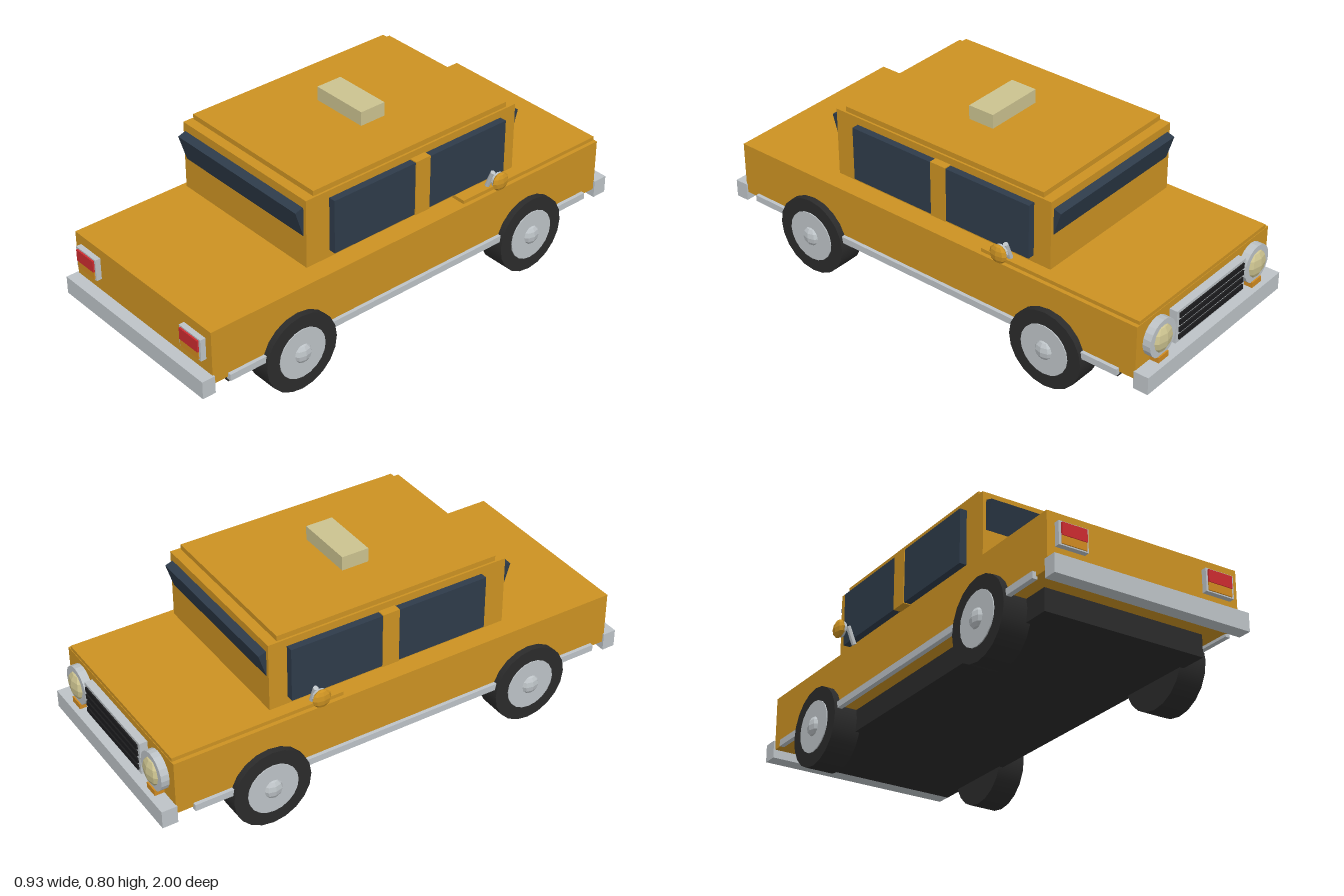
import * as THREE from 'three';

const mat = (name, color, flatShading = false) => {
  const m = new THREE.MeshStandardMaterial({ color, flatShading });
  m.name = name;
  return m;
};

export function createModel() {
  const paint = mat('orangePaint', 0xcc9222, true);
  const chrome = mat('chrome', 0xbdc3c7, true);
  const glass = mat('darkGlass', 0x2e3b4a, true);
  const rubber = mat('rubber', 0x2b2b2b);
  const black = mat('grilleBlack', 0x1c1c1e);
  const cream = mat('creamLamp', 0xcbc28f, true);
  const red = mat('redLamp', 0xcc2b30);
  const amber = mat('amberLamp', 0xd08a20);

  const car = new THREE.Group();
  car.name = 'sedan';

  const add = (name, geometry, material, x = 0, y = 0, z = 0) => {
    const m = new THREE.Mesh(geometry, material);
    m.name = name;
    m.position.set(x, y, z);
    car.add(m);
    return m;
  };
  // Box given by its limits on each axis
  const box = (name, material, [x0, x1], [y0, y1], [z0, z1]) =>
    add(name, new THREE.BoxGeometry(x1 - x0, y1 - y0, z1 - z0), material,
      (x0 + x1) / 2, (y0 + y1) / 2, (z0 + z1) / 2);
  // Same box on the left (+x) or right (-x) side
  const sideBox = (name, material, s, [x0, x1], y, z) =>
    box(name, material, s > 0 ? [x0, x1] : [-x1, -x0], y, z);
  // Faceted, squashed ball
  const ball = (name, material, r, scale, x, y, z) => {
    const m = add(name, new THREE.SphereGeometry(r, 8, 6), material, x, y, z);
    m.scale.set(...scale);
    return m;
  };
  // Disc with its axis along x or z
  const disc = (name, material, r, depth, axis, x, y, z, sides = 20) => {
    const g = new THREE.CylinderGeometry(r, r, depth, sides);
    if (axis === 'x') g.rotateZ(Math.PI / 2);
    else g.rotateX(Math.PI / 2);
    return add(name, g, material, x, y, z);
  };

  // Body, chassis and bumpers
  box('chassis', rubber, [-0.335, 0.335], [0.11, 0.21], [-0.82, 0.835]);
  box('body', paint, [-0.403, 0.403], [0.198, 0.417], [-0.94, 0.95]);
  box('hood', paint, [-0.387, 0.387], [0.415, 0.432], [-0.938, -0.24]);
  box('frontBumper', chrome, [-0.41, 0.41], [0.163, 0.235], [-1, -0.938]);
  box('rearBumper', chrome, [-0.41, 0.41], [0.163, 0.235], [0.945, 1]);

  // Cabin, roof and roof lamp
  box('cabin', paint, [-0.35, 0.35], [0.443, 0.722], [-0.525, 0.485]);
  box('roof', paint, [-0.342, 0.342], [0.72, 0.743], [-0.485, 0.445]);
  box('roofLamp', cream, [-0.123, 0.123], [0.74, 0.8], [-0.077, 0.035]);

  // Tilted front and rear windows
  for (const [name, z, s] of [['windshield', -0.52, -1], ['rearWindow', 0.485, 1]]) {
    const w = add(name, new THREE.BoxGeometry(0.672, 0.115, 0.035), glass, 0, 0.63, z + s * 0.002);
    w.rotation.x = s * 0.31;
  }

  // Grille at the front end
  box('grillePanel', chrome, [-0.212, 0.212], [0.255, 0.39], [-0.972, -0.938]);
  for (let i = 0; i < 4; i++) {
    const y = 0.277 + i * 0.0305;
    box('grilleSlot', black, [-0.198, 0.198], [y - 0.01, y + 0.01], [-0.978, -0.97]);
  }

  for (const s of [1, -1]) {
    // Side windows, door pillar and sill trim
    sideBox('rearSideWindow', glass, s, [0.345, 0.379], [0.472, 0.692], [0.0, 0.38]);
    sideBox('frontSideWindow', glass, s, [0.345, 0.379], [0.472, 0.692], [-0.45, -0.068]);
    sideBox('doorPillar', paint, s, [0.345, 0.382], [0.469, 0.696], [-0.07, 0.0]);
    sideBox('sillTrim', chrome, s, [0.398, 0.418], [0.187, 0.214], [-0.872, 0.885]);

    // Headlights and turn signals
    disc('headlightRim', chrome, 0.076, 0.032, 'z', s * 0.291, 0.325, -0.956);
    ball('headlightLens', cream, 0.057, [1, 1, 0.5], s * 0.291, 0.325, -0.965);
    sideBox('turnSignal', amber, s, [0.262, 0.32], [0.232, 0.258], [-0.978, -0.938]);

    // Tail lights
    sideBox('tailLightFrame', chrome, s, [0.25, 0.371], [0.288, 0.378], [0.948, 0.972]);
    sideBox('brakeLamp', red, s, [0.258, 0.361], [0.324, 0.372], [0.97, 0.979]);
    sideBox('rearSignal', amber, s, [0.258, 0.361], [0.293, 0.324], [0.97, 0.976]);

    // Mirrors on slanted arms
    const arm = add('mirrorArm', new THREE.CylinderGeometry(0.01, 0.01, 0.075, 8), chrome,
      s * 0.392, 0.478, -0.368);
    arm.rotation.z = -s * 0.38;
    disc('mirrorFace', chrome, 0.031, 0.01, 'x', s * 0.433, 0.494, -0.368, 12);
    ball('mirrorShell', paint, 0.037, [0.48, 1, 1.05], s * 0.446, 0.493, -0.368);

    // Wheels with hub plates and caps
    for (const z of [-0.565, 0.575]) {
      disc('tire', rubber, 0.16, 0.112, 'x', s * 0.374, 0.161, z);
      disc('hubPlate', chrome, 0.104, 0.01, 'x', s * 0.429, 0.161, z);
      ball('hubCap', chrome, 0.04, [0.6, 1, 1], s * 0.43, 0.161, z);
    }
  }

  return car;
}
